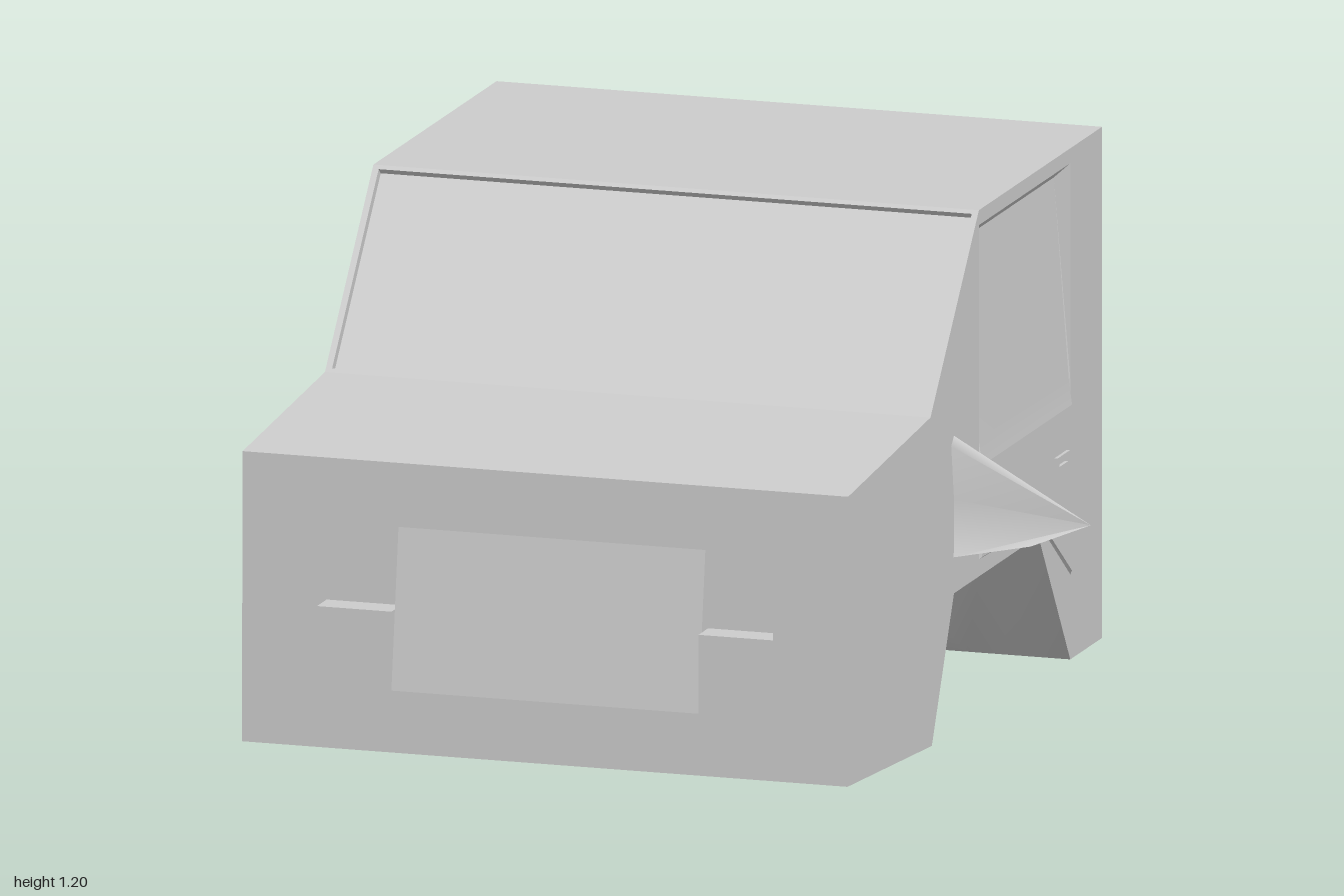
import * as THREE from 'three';

const material = new THREE.MeshStandardMaterial({ color: 0xcccccc, side: THREE.DoubleSide });
const W = 0.73; // half width of the cab

function mesh(name, geometry) {
  const m = new THREE.Mesh(geometry, material);
  m.name = name;
  return m;
}

// Flat outline with optional hole, laid into space by map(u, v) -> [x, y, z]
function plate(name, outline, hole, map, flip = false) {
  const toVectors = (pts) => pts.map(([u, v]) => new THREE.Vector2(u, v));
  const shape = new THREE.Shape(toVectors(outline));
  if (hole) shape.holes.push(new THREE.Path(toVectors(hole)));
  const g = new THREE.ShapeGeometry(shape);
  const p = g.attributes.position;
  for (let i = 0; i < p.count; i++) p.setXYZ(i, ...map(p.getX(i), p.getY(i)));
  if (flip) g.index.array.reverse();
  g.computeVertexNormals();
  return mesh(name, g);
}

// Surface through rows of points; smooth shares normals between the rows
function loft(name, rows, smooth = false, flip = false) {
  const n = rows[0].length, index = [];
  for (let r = 0; r < rows.length - 1; r++) {
    for (let c = 0; c < n - 1; c++) {
      const a = r * n + c, b = a + 1, d = a + n, e = d + 1;
      if (flip) index.push(a, d, b, b, d, e);
      else index.push(a, b, d, b, e, d);
    }
  }
  let g = new THREE.BufferGeometry();
  g.setAttribute('position', new THREE.Float32BufferAttribute(rows.flat(2), 3));
  g.setIndex(index);
  if (!smooth) g = g.toNonIndexed();
  g.computeVertexNormals();
  return mesh(name, g);
}

const rect = (x0, x1, y0, y1) => [[x0, y0], [x1, y0], [x1, y1], [x0, y1]];
const close = (pts) => [...pts, pts[0]];

// Height of the floor along z: [z, height at the side, height in the middle]
const floorLine = [
  [0.92, 0.055, 0.055], [0.31, 0.017, 0.017], [0.15, 0.34, 0.01],
  [-0.46, 0.34, 0], [-0.69, 0, 0], [-0.92, 0, 0],
];

function createFloor() {
  // How far the wheel arch still rises at each distance from the middle
  const arch = [[-W, 1], [-0.59, 0.74], [-0.48, 0.36], [-0.37, 0], [0, 0],
    [0.37, 0], [0.48, 0.36], [0.59, 0.74], [W, 1]];
  return loft('floorWithWheelArches', floorLine.map(([z, side, mid]) =>
    arch.map(([x, w]) => [x, mid + (side - mid) * w, z])), true, true);
}

function createFront() {
  const group = new THREE.Group();
  group.name = 'frontPanel';
  const face = (y) => 0.92 - 0.005 * (y - 0.055) / 0.68;
  const at = (depth) => (x, y) => [x, y, face(y) - depth];
  const opening = [[-0.37, 0.2], [0.37, 0.2], [0.37, 0.385], [0.55, 0.385],
    [0.55, 0.585], [-0.55, 0.585], [-0.55, 0.385], [-0.37, 0.385]];
  group.add(plate('frontFace', rect(-W, W, 0.055, 0.735), opening, at(0)));
  // Grille leans back from flush at its foot
  const lean = (y) => 0.05 * (y - 0.2) / 0.385;
  group.add(plate('grille', rect(-0.37, 0.37, 0.2, 0.585), null,
    (x, y) => at(lean(y))(x, y)));
  group.add(loft('grilleTop', [0, 0.05].map((d) =>
    [-0.37, 0.37].map((x) => at(d)(x, 0.585)))));
  for (const s of [-1, 1]) {
    // Lamp pocket beside the grille
    const [a, b] = s < 0 ? [-0.55, -0.37] : [0.37, 0.55];
    group.add(plate('lampPocket', rect(a, b, 0.385, 0.585), null, at(0.07)));
    const rim = [[0.37, 0.385], [0.55, 0.385], [0.55, 0.585], [0.37, 0.585]];
    group.add(loft('lampRim', [0, 0.07].map((d) =>
      rim.map(([x, y]) => at(d)(s * x, y))), false, s < 0));
    group.add(loft('grilleCheek', [
      [0.2, 0.385].map((y) => at(0)(s * 0.37, y)),
      [0.2, 0.385].map((y) => at(lean(y))(s * 0.37, y))], false, s < 0));
    group.add(loft('lampInnerWall', [
      [0.385, 0.585].map((y) => at(lean(y))(s * 0.37, y)),
      [0.385, 0.585].map((y) => at(0.07)(s * 0.37, y))], false, s > 0));
  }
  return group;
}

function createWindscreen() {
  const group = new THREE.Group();
  group.name = 'windscreen';
  // v runs up the slope, depth is measured into the cab
  const at = (depth) => (x, v) =>
    [x, 0.79 + 0.41 * v - 0.65 * depth, 0.32 - 0.35 * v - 0.76 * depth];
  const opening = rect(-0.715, 0.715, 0.02, 0.98);
  group.add(plate('windscreenFrame', rect(-W, W, 0, 1), opening, at(0)));
  group.add(plate('windscreenGlass', opening, null, at(0.02)));
  group.add(loft('windscreenRim', [0, 0.02].map((d) =>
    close(opening).map(([x, v]) => at(d)(x, v)))));
  return group;
}

// Side wall, door, handle and mirror for one side (s = 1 is the left)
function createSide(s) {
  const group = new THREE.Group();
  group.name = s > 0 ? 'leftSide' : 'rightSide';
  const at = (x) => (z, y) => [s * x, y, z];
  const flip = s > 0;
  const outline = [...floorLine.map(([z, y]) => [z, y]),
    [-0.92, 1.2], [-0.03, 1.2], [0.32, 0.79], [0.915, 0.735]];
  const door = [[-0.03, 0.38], [-0.46, 0.37], [-0.69, 0.2], [-0.69, 1.165], [-0.03, 1.165]];
  group.add(plate('sideWall', outline, door, at(W), flip));

  // Door skin stands slightly proud below, the window leans inwards above
  const proud = W + 0.006, z0 = -0.035, z1 = -0.685;
  const skin = [[z0, 0.385], [-0.46, 0.375], [z1, 0.21], [z1, 0.6], [z0, 0.6]];
  group.add(plate('doorPanel', skin, null, at(proud), flip));
  const glass = [[0.6, proud], [0.66, 0.728], [1.13, 0.692]];
  group.add(loft('doorWindow', glass.map(([y, x]) =>
    [z0, z1].map((z) => at(x)(z, y))), true, s < 0));
  group.add(loft('windowHead', [
    [z0, z1].map((z) => at(0.692)(z, 1.13)),
    [-0.03, -0.69].map((z) => at(W)(z, 1.165))], false, s < 0));
  // Window reveals and the edge of the lower panel
  for (const [z, edge] of [[z0, -0.03], [z1, -0.69]]) {
    group.add(loft('windowReveal', [
      [...glass.map(([y, x]) => at(x)(z, y)), at(W)(edge, 1.165)],
      [0.6, 0.66, 1.13, 1.165].map((y) => at(W)(edge, y))], false, (z === z0) === (s > 0)));
  }
  const inner = [[z0, 0.6], ...skin.slice(0, 4)];
  const outer = [[-0.03, 0.6], ...door.slice(0, 3), [-0.69, 0.6]];
  group.add(loft('doorEdge', [inner.map(([z, y]) => at(proud)(z, y)),
    outer.map(([z, y]) => at(W)(z, y))], false, s < 0));

  // Handle: a thin raised bezel with a grip in it
  const bezel = plate('handleBezel', rect(-0.647, -0.557, 0.472, 0.502),
    rect(-0.635, -0.57, 0.479, 0.495), at(0.744), flip);
  group.add(bezel);
  for (const r of [rect(-0.647, -0.557, 0.472, 0.502), rect(-0.635, -0.57, 0.479, 0.495)]) {
    group.add(loft('handleEdge', [proud, 0.744].map((x) =>
      close(r).map(([z, y]) => at(x)(z, y)))));
  }

  // Swept-back mirror blade, fanned out from its tip
  const root = [[0.73, 0.71, 0.15], [0.73, 0.69, 0.17], [0.73, 0.56, 0.15],
    [0.73, 0.425, 0.152], [0.89, 0.445, 0.075]];
  group.add(loft('mirror', [
    root.map(([x, y, z]) => [s * x, y, z]),
    root.map(() => [s * 1.0, 0.48, -0.03])], true, s < 0));
  return group;
}

export function createModel() {
  const cab = new THREE.Group();
  cab.name = 'truckCab';
  cab.add(createFloor(), createFront(), createWindscreen(), createSide(1), createSide(-1));
  cab.add(loft('bonnet', [[0.915, 0.735], [0.32, 0.79]].map(([z, y]) =>
    [-W, W].map((x) => [x, y, z]))));
  cab.add(loft('roof', [-0.03, -0.92].map((z) => [-W, W].map((x) => [x, 1.2, z]))));

  // Steering wheel inside, in front of the right-hand seat
  const wheel = mesh('steeringWheel', new THREE.TorusGeometry(0.185, 0.038, 12, 32));
  wheel.position.set(-0.35, 0.65, 0.03);
  wheel.rotation.x = -0.2;
  cab.add(wheel);
  return cab;
}
